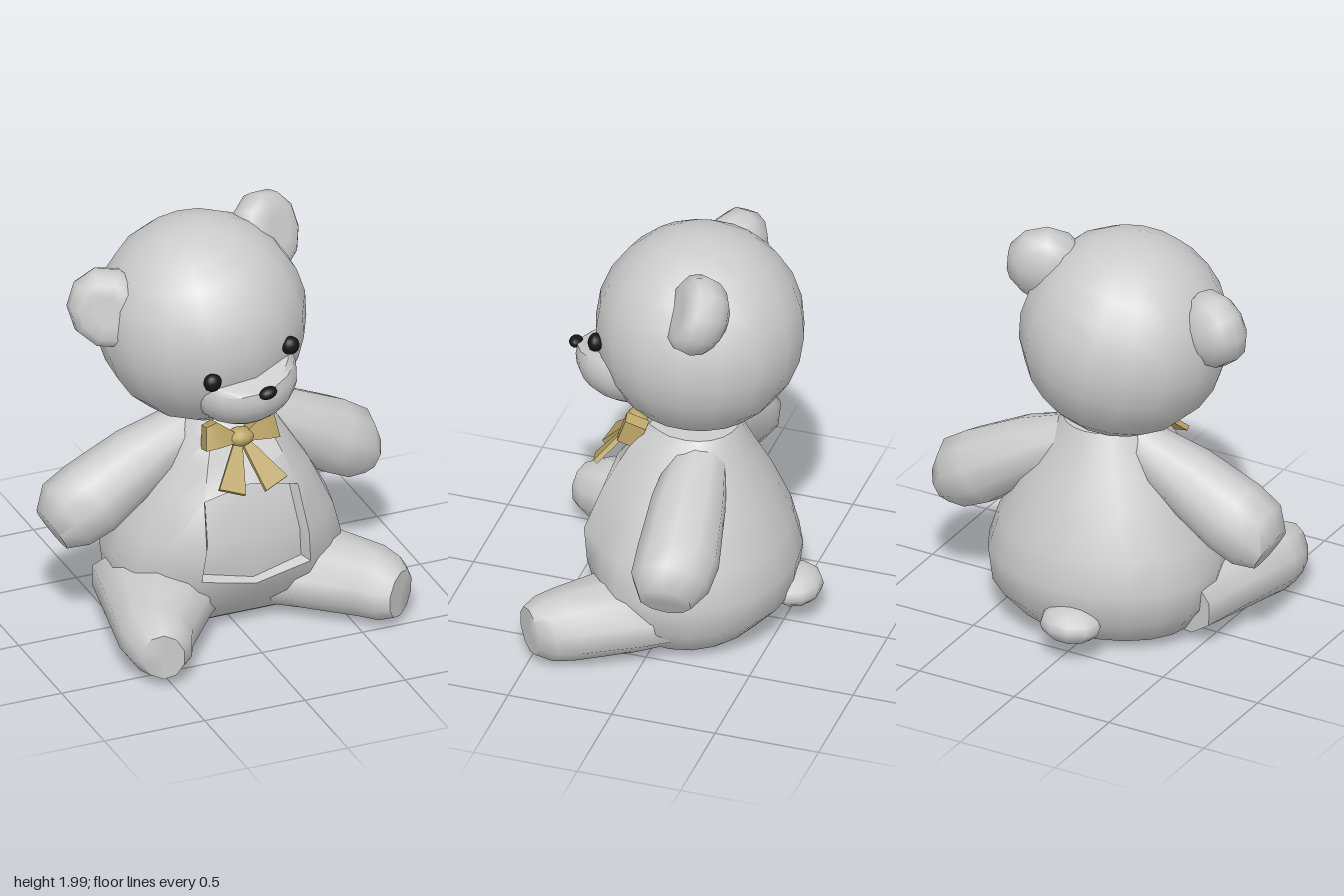
import * as THREE from 'three';
import { toCreasedNormals } from 'three/addons/utils/BufferGeometryUtils.js';

const V = (x, y, z) => new THREE.Vector3(x, y, z);
const plush = new THREE.MeshStandardMaterial({ color: 0xcccccc });
const plushOpen = new THREE.MeshStandardMaterial({ color: 0xcccccc, side: THREE.DoubleSide });
const black = new THREE.MeshStandardMaterial({ color: 0x151515 });
const gold = new THREE.MeshStandardMaterial({ color: 0xb8a362 });

function addMesh(parent, name, geo, mat = plush) {
  const m = new THREE.Mesh(geo, mat);
  m.name = name;
  parent.add(m);
  return m;
}

// Skin closed rings of points; skip(i, j) leaves a quad open
function loft(rings, skip = () => false, crease = 0.95) {
  const n = rings[0].length, pts = rings.flat(), idx = [];
  for (let i = 0; i < rings.length - 1; i++) {
    for (let j = 0; j < n; j++) {
      if (skip(i, j)) continue;
      const k = (j + 1) % n, a = i * n, b = a + n;
      idx.push(a + j, a + k, b + k, a + j, b + k, b + j);
    }
  }
  [0, rings.length - 1].forEach((r, end) => {
    const c = pts.length;
    pts.push(rings[r].reduce((s, p) => s.add(p), V(0, 0, 0)).divideScalar(n));
    for (let j = 0; j < n; j++) {
      const p = r * n + j, q = r * n + (j + 1) % n;
      idx.push(c, end ? p : q, end ? q : p);
    }
  });
  const g = new THREE.BufferGeometry().setFromPoints(pts);
  g.setIndex(idx);
  return toCreasedNormals(g, crease);
}

// Tapered limb: stations are [x, y, z, width radius, height radius]
function limb(stations, sides = 10, ref = V(0, 1, 0)) {
  const at = s => V(s[0], s[1], s[2]);
  const t = at(stations.at(-1)).sub(at(stations[0])).normalize();
  const u = ref.clone().cross(t).normalize(), v = t.clone().cross(u);
  const k = sides === 4 ? Math.SQRT2 : 1;
  return loft(stations.map(s => Array.from({ length: sides }, (_, j) => {
    const a = (j + 0.5) / sides * Math.PI * 2;
    return at(s).addScaledVector(u, Math.cos(a) * s[3] * k).addScaledVector(v, Math.sin(a) * s[4] * k);
  })));
}

function ball(parent, name, pos, scale, mat, w = 14, h = 10) {
  const m = addMesh(parent, name, new THREE.SphereGeometry(1, w, h), mat);
  m.position.set(...pos);
  m.scale.set(...scale);
  return m;
}

function buildBody(root) {
  // Rows: [y, half width, back z, front z]
  const rows = [
    [0.0, 0.30, -0.25, 0.10], [0.05, 0.44, -0.43, 0.18], [0.18, 0.54, -0.55, 0.29],
    [0.34, 0.56, -0.57, 0.35], [0.50, 0.51, -0.53, 0.37], [0.72, 0.40, -0.44, 0.29],
    [0.86, 0.31, -0.37, 0.22], [0.97, 0.24, -0.32, 0.16], [1.04, 0.19, -0.29, 0.1],
  ];
  const N = 18, lo = 3, hi = 5, zc = -0.1, xc = 0.035;
  const rings = rows.map(([y, rx, zb, zf], i) => Array.from({ length: N }, (_, j) => {
    const a = Math.asin(Math.min((0.305 - 0.1 * y) / rx, 0.6));
    const ang = j === 0 ? 0 : a + (j - 1) / (N - 2) * (2 * Math.PI - 2 * a);
    const c = Math.cos(ang);
    let z = c > 0 ? zc + (zf - zc) * c ** 0.7 : zc + (zc - zb) * c;
    if (j < 2 || j === N - 1) z = zf;
    const dy = j ? 0 : i === lo ? -0.06 : i === hi ? 0.05 : 0;
    return V(xc + rx * Math.sin(ang), y + dy, z);
  }));
  const inHole = (i, j) => i >= lo && i < hi && (j === 0 || j === N - 1);
  addMesh(root, 'body', loft(rings, inHole, 0.8));

  // Sunken belly patch: inset floor plus the walls around it
  const cols = [N - 1, 0, 1], rim = [], floor = [];
  for (let i = lo; i <= hi; i++) for (const j of cols) {
    const p = rings[i][j];
    rim.push(p);
    floor.push(V(xc + (p.x - xc) * 0.9, 0.52 + (p.y - 0.52) * 0.93, p.z - (j ? 0.05 : 0.035)));
  }
  const idx = [], quad = (a, b, c, d) => idx.push(a, b, c, a, c, d);
  for (const k of [0, 1, 3, 4]) quad(9 + k, 10 + k, 13 + k, 12 + k);
  const loop = [0, 1, 2, 5, 8, 7, 6, 3];
  loop.forEach((p, k) => { const q = loop[(k + 1) % 8]; quad(p, q, q + 9, p + 9); });
  const g = new THREE.BufferGeometry().setFromPoints([...rim, ...floor]);
  g.setIndex(idx);
  addMesh(root, 'bellyPatch', toCreasedNormals(g, 0.6), plushOpen);

  ball(root, 'tail', [-0.04, 0.18, -0.545], [0.15, 0.085, 0.125], plush, 10, 8);
}

function buildHead(root) {
  const head = new THREE.Group();
  head.name = 'head';
  head.position.set(-0.06, 1.49, -0.075);
  head.rotation.set(0, 0.12, 0.2);
  root.add(head);
  ball(head, 'skull', [0, 0, 0], [0.49, 0.49, 0.487], plush, 16, 12);

  // Muzzle with a flat, sloping top, running back into the chin
  const muzzle = new THREE.SphereGeometry(1, 18, 14);
  muzzle.scale(0.26, 0.205, 0.27).translate(0, -0.19, 0.3);
  const mp = muzzle.attributes.position;
  for (let i = 0; i < mp.count; i++) {
    mp.setY(i, Math.min(mp.getY(i), -0.10 - (mp.getZ(i) - 0.42) * 0.33));
  }
  addMesh(head, 'muzzle', toCreasedNormals(muzzle, 0.6));
  ball(head, 'nose', [-0.005, -0.15, 0.575], [0.045, 0.028, 0.032], black);

  for (const s of [1, -1]) {
    const side = s > 0 ? 'left' : 'right';
    ball(head, side + 'Eye', [s * 0.21, -0.055, 0.445], [0.044, 0.044, 0.036], black);

    // Plump ear with a flattened front
    const ear = new THREE.SphereGeometry(1, 10, 8).rotateX(Math.PI / 2);
    const ep = ear.attributes.position;
    for (let i = 0; i < ep.count; i++) {
      ep.setZ(i, Math.min(ep.getZ(i), 0.6));
    }
    ear.scale(0.185, 0.2, 0.15);
    const m = addMesh(head, side + 'Ear', toCreasedNormals(ear, 0.9));
    m.position.set(s * 0.425, 0.225, -0.055);
    m.rotation.set(-0.3, s * 0.45, s * -0.3);
  }
}

function buildLimbs(root) {
  for (const s of [1, -1]) {
    const side = s > 0 ? 'left' : 'right';
    const z0 = s > 0 ? -0.14 : -0.08, z1 = s > 0 ? -0.195 : -0.055;
    addMesh(root, side + 'Arm', limb([
      [s * 0.1, 0.95, z0, 0.12, 0.1],
      [s * 0.38, 0.81, (z0 + z1) / 2, 0.175, 0.15],
      [s * 0.62, 0.665, z1, 0.195, 0.18],
      [s * 0.74, 0.6, z1, 0.185, 0.17],
      [s * 0.812, 0.538, z1, 0.125, 0.105],
    ]));
  }
  // Wide hips taper towards the feet
  addMesh(root, 'leftLeg', limb([
    [0.22, 0.185, -0.05, 0.32, 0.175], [0.42, 0.18, 0.14, 0.26, 0.172],
    [0.61, 0.175, 0.36, 0.2, 0.16], [0.66, 0.165, 0.44, 0.175, 0.145],
    [0.69, 0.16, 0.5, 0.115, 0.115],
  ]));
  addMesh(root, 'rightLeg', limb([
    [-0.26, 0.185, -0.05, 0.34, 0.175], [-0.39, 0.185, 0.2, 0.255, 0.175],
    [-0.52, 0.175, 0.48, 0.175, 0.16], [-0.535, 0.17, 0.56, 0.155, 0.15],
    [-0.55, 0.16, 0.64, 0.1, 0.115],
  ]));
}

function buildBow(root) {
  const bow = new THREE.Group();
  bow.name = 'bow';
  bow.position.set(0.018, 0.975, 0.2);
  root.add(bow);
  ball(bow, 'knot', [0, 0, 0], [0.07, 0.045, 0.055], gold, 10, 8);
  const ribbonNormal = V(0, 0.65, 0.76), loopUp = V(0, 0.94, -0.34);
  for (const s of [1, -1]) {
    const side = s > 0 ? 'left' : 'right';
    addMesh(bow, side + 'Loop', limb([
      [s * 0.03, 0.0, 0, 0.03, 0.025],
      [s * 0.12, 0.025, -0.02, 0.055, 0.062],
      [s * 0.17, 0.012, -0.025, 0.05, 0.055],
    ], 4, loopUp), gold);
    addMesh(bow, side + 'Ribbon', limb([
      [s * 0.015, -0.02, 0.01, 0.018, 0.012],
      [s * 0.11, -0.19, 0.165, 0.064, 0.012],
    ], 4, ribbonNormal), gold);
  }
}

export function createModel() {
  const root = new THREE.Group();
  root.name = 'teddyBear';
  buildBody(root);
  buildHead(root);
  buildLimbs(root);
  buildBow(root);
  return root;
}
